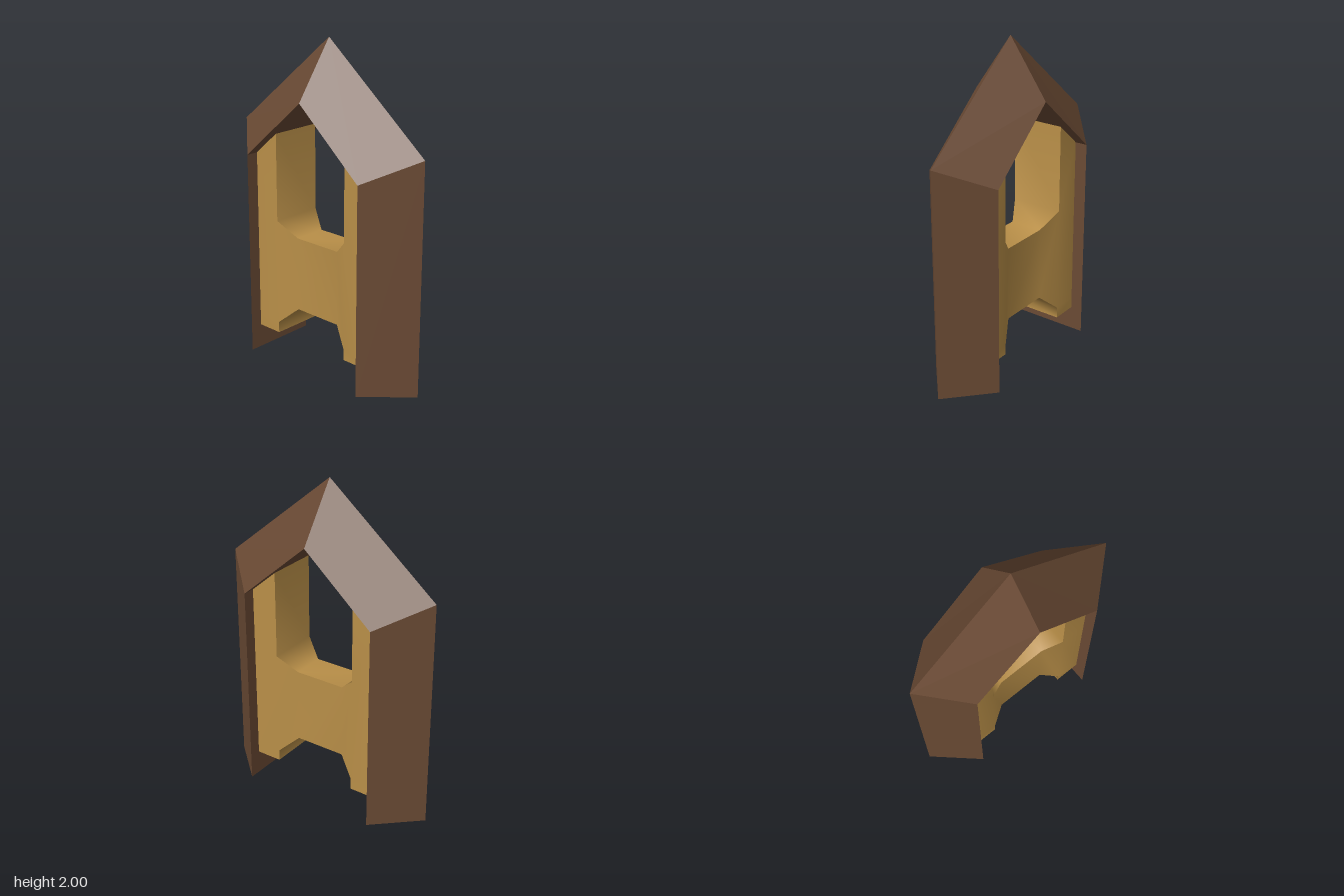
import * as THREE from 'three';

const frameMat = new THREE.MeshStandardMaterial({ color: 0x6a4a34 });
frameMat.name = 'dark wood';
const insetMat = new THREE.MeshStandardMaterial({ color: 0xb98f48 });
insetMat.name = 'golden wood';

function makeMesh(name, points, index, material, flat = false) {
  let geo = new THREE.BufferGeometry();
  geo.setAttribute('position', new THREE.Float32BufferAttribute(points.flat(), 3));
  geo.setIndex(index);
  if (flat) geo = geo.toNonIndexed();
  geo.computeVertexNormals();
  const mesh = new THREE.Mesh(geo, material);
  mesh.name = name;
  return mesh;
}

// Triangular section swept over the pointed arch
function makeFrame() {
  const half = 0.242;
  // outer z, outer y, inner z, inner y
  const stations = [
    [0.7, 0, 0.435, 0], [0.7, 1.42, 0.435, 1.28], [0, 2, 0, 1.66],
    [-0.7, 1.42, -0.435, 1.28], [-0.7, 0, -0.435, 0],
  ];
  const points = [], index = [];
  for (const [zo, yo, zi, yi] of stations) {
    points.push([0, yo, zo], [half, yi, zi], [-half, yi, zi]);
  }
  for (let s = 0; s < stations.length - 1; s++) {
    for (let k = 0; k < 3; k++) {
      const a = s * 3 + k, b = s * 3 + (k + 1) % 3;
      index.push(a, b, b + 3, a, b + 3, a + 3);
    }
  }
  const e = points.length - 3;
  index.push(0, 2, 1, e, e + 1, e + 2); // feet
  return makeMesh('archFrame', points, index, frameMat, true);
}

// Half thickness of the inset: thick posts, thin web
const postHalf = 0.165, webHalf = 0.103;
const halfAt = (z) => (Math.abs(z) > 0.2 ? postHalf : webHalf);

// Side face of the H-shaped inset
function makeInsetSide(sign) {
  const columns = [
    [0.435, [0.15, 0.22, 0.885, 1.28]],
    [0.27, [0.15, 0.22, 0.885, 1.424]],
    [0.16, [0.32, 0.32, 0.785, 0.785]],
  ];
  const all = [...columns, ...columns.map(([z, ys]) => [-z, ys]).reverse()];
  const points = [], index = [];
  for (const [z, ys] of all) for (const y of ys) points.push([sign * halfAt(z), y, z]);
  for (let c = 0; c < all.length - 1; c++) {
    for (let r = 0; r < 3; r++) {
      const isPost = c === 0 || c === all.length - 2;
      if (!isPost && r !== 1) continue; // open notches
      const a = c * 4 + r, b = a + 4;
      if (sign > 0) index.push(a, b, b + 1, a, b + 1, a + 1);
      else index.push(a, b + 1, b, a, a + 1, b + 1);
    }
  }
  return makeMesh(sign > 0 ? 'insetLeftFace' : 'insetRightFace', points, index, insetMat);
}

// Strip across the thickness, following a path of [z, y]
function makeStrip(name, path) {
  const points = [], index = [];
  path.forEach(([z, y], i) => {
    points.push([halfAt(z), y, z], [-halfAt(z), y, z]);
    if (i) {
      const a = i * 2 - 2;
      index.push(a, a + 2, a + 3, a, a + 3, a + 1);
    }
  });
  return makeMesh(name, points, index, insetMat);
}

export function createModel() {
  const model = new THREE.Group();
  model.name = 'archedStand';
  model.add(makeFrame());

  const inset = new THREE.Group();
  inset.name = 'inset';
  inset.add(makeInsetSide(1), makeInsetSide(-1));
  inset.add(makeStrip('upperNotch', [
    [0.27, 1.424], [0.27, 0.885], [0.16, 0.785],
    [-0.16, 0.785], [-0.27, 0.885], [-0.27, 1.424],
  ]));
  inset.add(makeStrip('lowerNotch', [
    [-0.27, 0.15], [-0.27, 0.22], [-0.16, 0.32],
    [0.16, 0.32], [0.27, 0.22], [0.27, 0.15],
  ]));
  inset.add(makeStrip('frontPostFoot', [[0.27, 0.15], [0.435, 0.15]]));
  inset.add(makeStrip('backPostFoot', [[-0.435, 0.15], [-0.27, 0.15]]));
  model.add(inset);
  return model;
}
